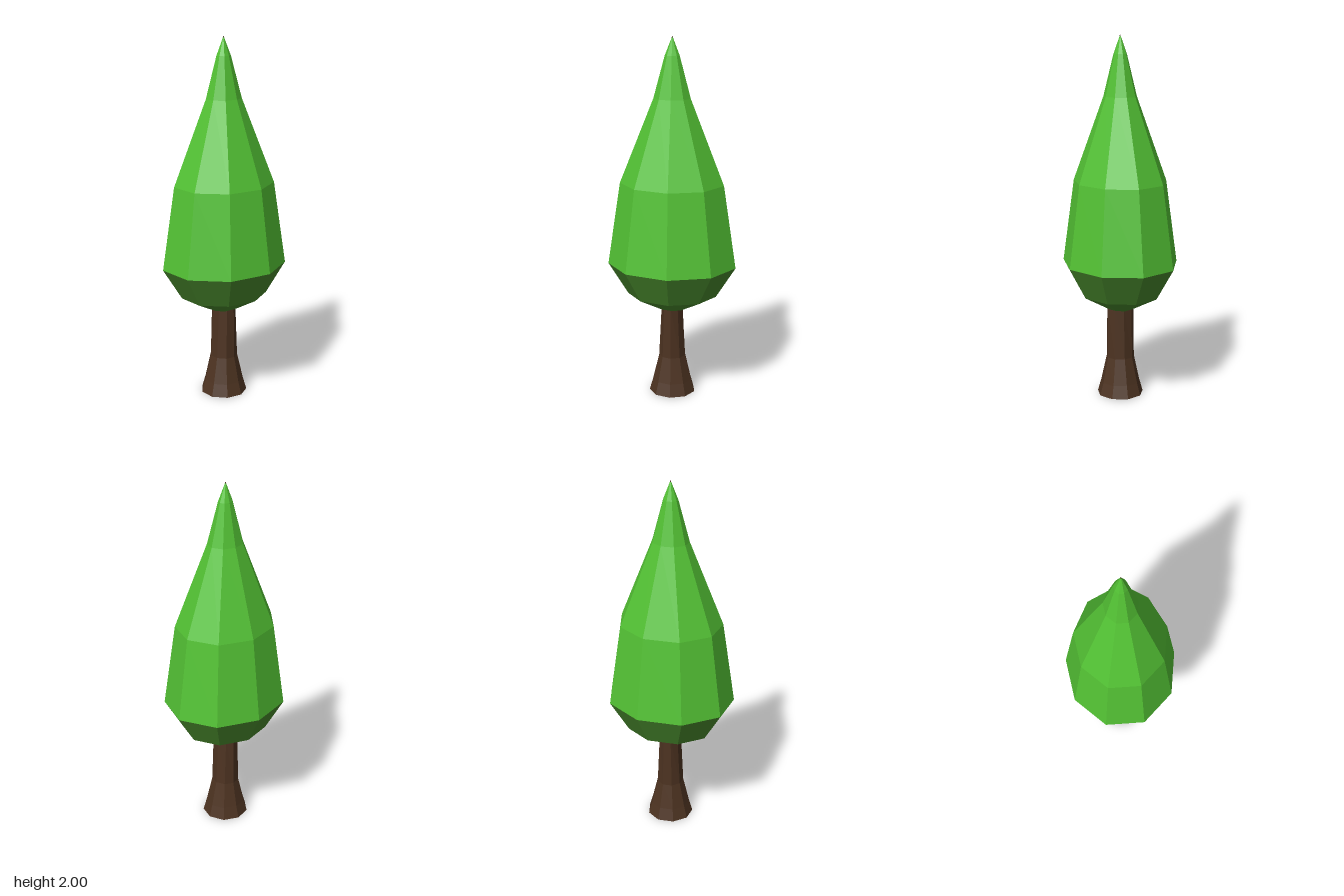
import * as THREE from 'three';

const SIDES = 9;
const CENTRE_Z = 0.01;

// Nine-sided open loft through [y, radiusX, radiusZ] rings, one flat side facing +z.
// A ring of zero radius closes an end.
function loft(name, rings, material) {
  const points = rings.map(([y, rx]) => new THREE.Vector2(rx, y));
  const geometry = new THREE.LatheGeometry(points, SIDES, Math.PI);
  // Stretch each ring to its own depth.
  const pos = geometry.attributes.position;
  for (let i = 0; i < pos.count; i++) {
    const [, rx, rz] = rings[i % rings.length];
    pos.setZ(i, pos.getZ(i) * (rx > 0 ? rz / rx : 1) + CENTRE_Z);
  }
  const flat = geometry.toNonIndexed();
  flat.computeVertexNormals();
  const mesh = new THREE.Mesh(flat, material);
  mesh.name = name;
  return mesh;
}

export function createModel() {
  const leafGreen = new THREE.MeshStandardMaterial({ name: 'leaf green', color: 0x53c234, flatShading: true });
  const shadeGreen = new THREE.MeshStandardMaterial({ name: 'underside green', color: 0x498a2d, flatShading: true });
  const barkBrown = new THREE.MeshStandardMaterial({ name: 'bark brown', color: 0x4d3321, flatShading: true });

  const tree = new THREE.Group();
  tree.name = 'tree';

  // Trunk: flared foot, slim stem reaching just into the crown
  tree.add(loft('trunk', [
    [0, 0, 0],
    [0, 0.129, 0.13],
    [0.07, 0.109, 0.11],
    [0.215, 0.078, 0.075],
    [0.52, 0.076, 0.058],
    [0.52, 0, 0],
  ], barkBrown));

  // Crown: duller rounded underside, bright cone above, tiny woody tip
  const oval = ([y, r]) => [y, r, r * 1.139];
  tree.add(loft('crownUnderside', [[0.497, 0], [0.497, 0.07], [0.582, 0.22], [0.757, 0.316]].map(oval), shadeGreen));
  tree.add(loft('crown', [[0.757, 0.316], [1.214, 0.254], [1.675, 0.09], [1.9, 0.036], [1.994, 0.003]].map(oval), leafGreen));
  tree.add(loft('tip', [[1.994, 0.003], [2, 0.002], [2, 0]].map(oval), barkBrown));

  return tree;
}
